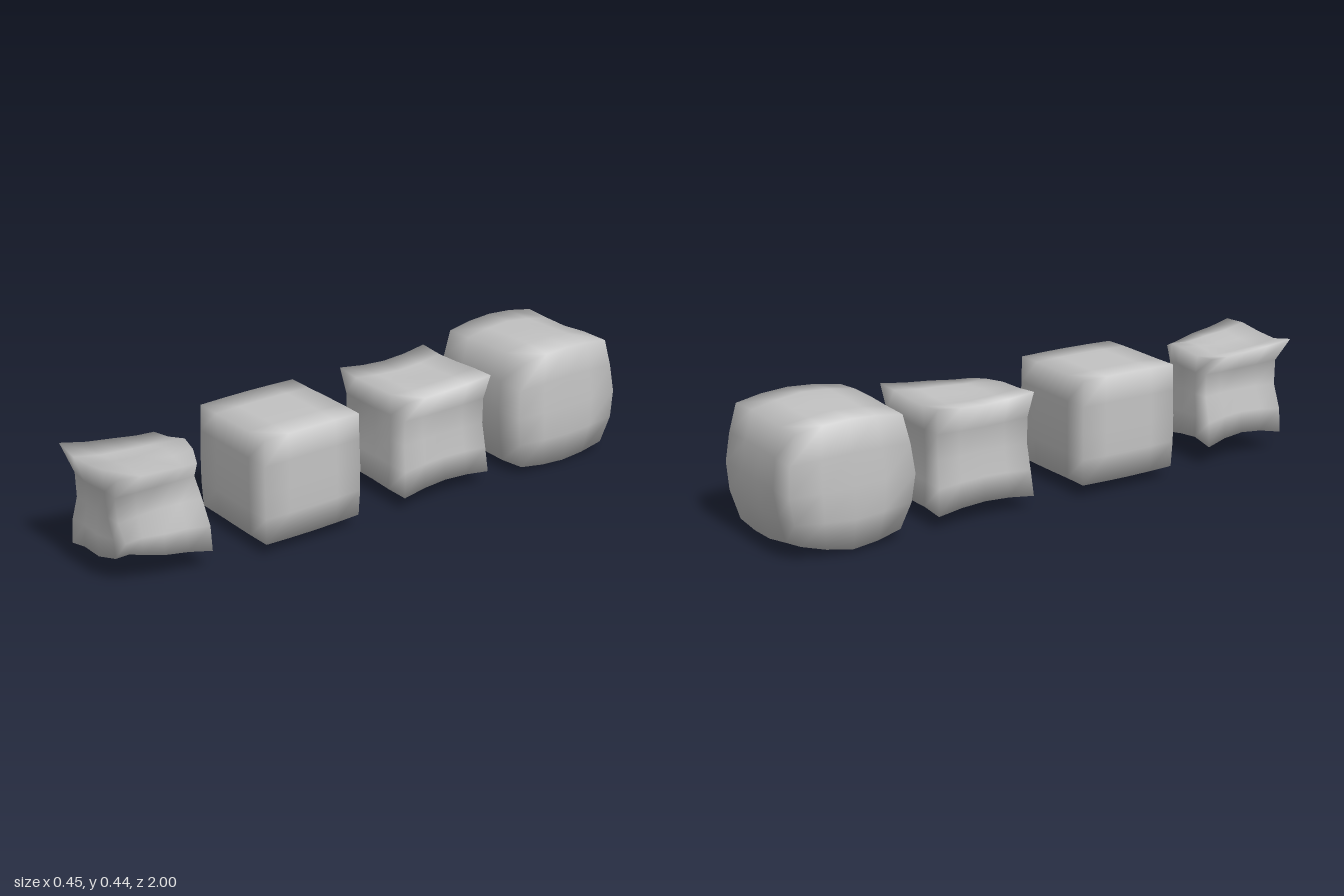
import * as THREE from 'three';
import { mergeVertices } from 'three/addons/utils/BufferGeometryUtils.js';

const stone = new THREE.MeshStandardMaterial({ color: 0xc2c2c2 });
stone.name = 'paleGrey';

// centre: y, z. half: corner half-sizes in x, y, z.
// bend: how far the middle of each side swells (+) or sinks (-), in x, y, z.
// ripple: uneven lumps along the sides. flare: widening towards the top.
// dents: knocked-in spots, each a lattice place (-1 to 1 in x, y, z) and a depth.
const blocks = [
  {
    name: 'pinchedBlock', centre: [0.242, 0.822], half: [0.166, 0.172, 0.17],
    bend: [-0.36, -0.18, -0.09], ripple: 0.12, flare: 0.05,
    dents: [[1, 1, -1, 0.26], [-1, 1, -1, 0.2], [1, -1, 1, 0.3]],
  },
  {
    name: 'squareBlock', centre: [0.225, 0.289], half: [0.183, 0.181, 0.184],
    bend: [0.03, 0.02, 0.02], ripple: 0.01, flare: 0, dents: [],
  },
  {
    name: 'dentedBlock', centre: [0.224, -0.273], half: [0.181, 0.178, 0.182],
    bend: [-0.17, -0.12, -0.07], ripple: 0.04, flare: 0, dents: [[1, 1, 1, 0.16]],
  },
  {
    name: 'swollenBlock', centre: [0.224, -0.78], half: [0.2, 0.194, 0.187],
    bend: [0.13, 0.14, 0.18], ripple: 0.03, flare: 0,
    dents: [[-1, -1, -1, 0.1], [0, 1, -1, 0.06], [-1, -1, 1, 0.05]],
  },
];

// A box lattice whose sides are bent by a cosine across each face, then dented
function blockGeometry({ half, bend, ripple, flare, dents }) {
  const box = new THREE.BoxGeometry(2, 2, 2, 4, 4, 4);
  box.deleteAttribute('uv');
  box.deleteAttribute('normal');
  const geometry = mergeVertices(box);
  const p = geometry.attributes.position;
  const hump = (t) => Math.cos(t * Math.PI / 2);
  const wave = (t) => Math.sin(t * Math.PI);
  const swell = (k, main, minor) => 1 + k * (0.7 * hump(main) + 0.3 * hump(minor));
  for (let i = 0; i < p.count; i++) {
    const u = p.getX(i), v = p.getY(i), w = p.getZ(i);
    let size = 1;
    for (const [a, b, c, depth] of dents) {
      size -= depth * Math.max(0, 1 - Math.hypot(u - a, v - b, w - c) / 1.1);
    }
    p.setXYZ(
      i,
      size * half[0] * u * (swell(bend[0], v, w) - ripple * wave(v) + flare * v),
      size * half[1] * v * (swell(bend[1], w, u) + ripple * 0.5 * wave(u)),
      size * half[2] * w * (1 + bend[2] * hump(v) - ripple * 0.2 * wave(v) + flare * v),
    );
  }
  geometry.computeVertexNormals();
  return geometry;
}

export function createModel() {
  const group = new THREE.Group();
  group.name = 'rowOfBlocks';
  for (const block of blocks) {
    const mesh = new THREE.Mesh(blockGeometry(block), stone);
    mesh.name = block.name;
    mesh.position.set(0, ...block.centre);
    group.add(mesh);
  }
  return group;
}
